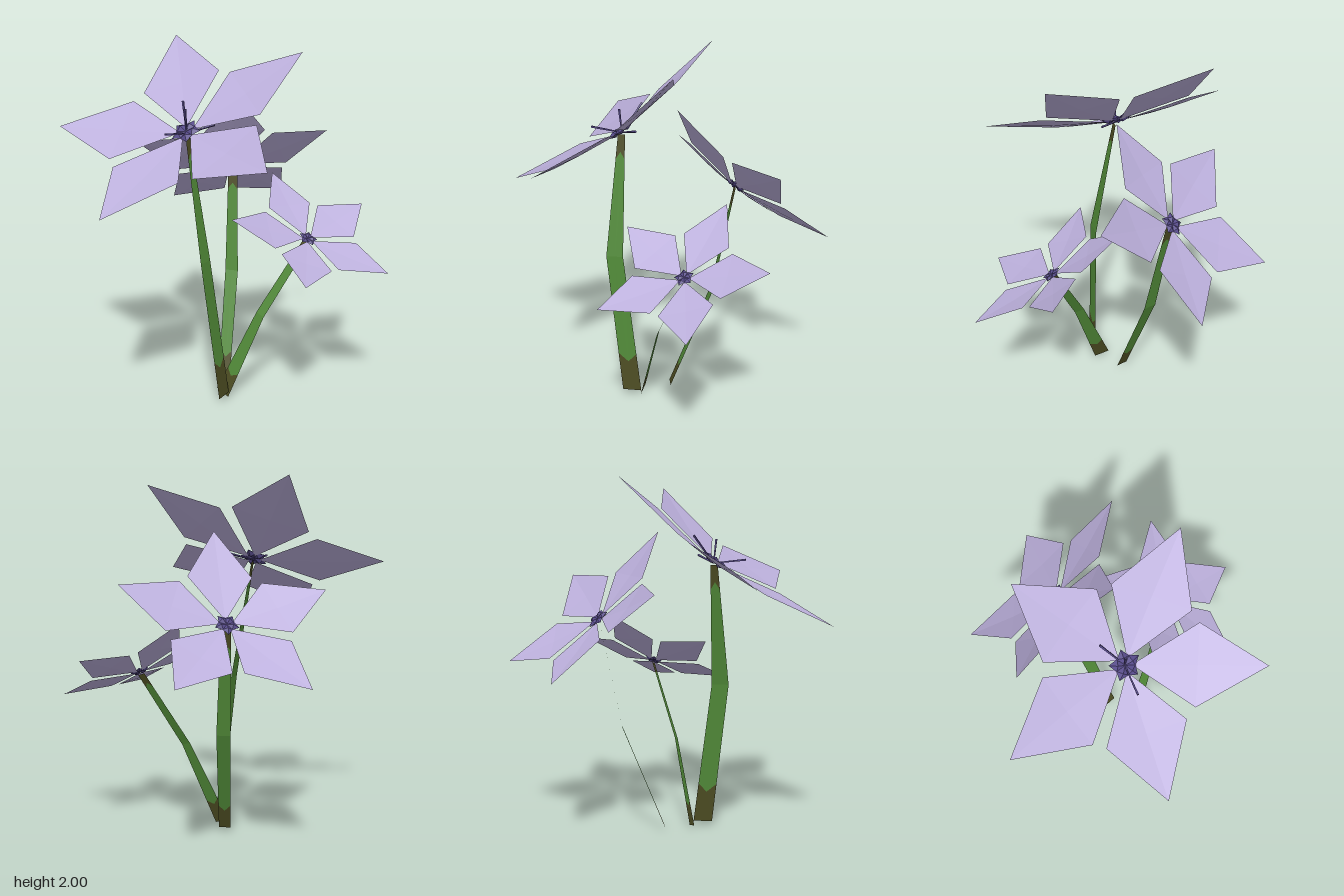
import * as THREE from 'three';

const mat = (name, color) => {
  const m = new THREE.MeshStandardMaterial({ color, side: THREE.DoubleSide, flatShading: true });
  m.name = name;
  return m;
};

// Mesh from a list of triangles (each a trio of Vector3)
function triMesh(name, tris, material) {
  const g = new THREE.BufferGeometry().setFromPoints(tris.flat());
  g.computeVertexNormals();
  const m = new THREE.Mesh(g, material);
  m.name = name;
  return m;
}

// Kite-shaped petal rising slightly outwards, four facets around its middle
function petal(angle, material) {
  const at = (radius, height, turn = 0) => new THREE.Vector3(
    radius * Math.cos(angle + turn), height, radius * Math.sin(angle + turn));
  const spread = THREE.MathUtils.degToRad(31);
  const ring = [at(0.035, 0.006), at(0.427, 0.06, spread), at(0.73, 0.117), at(0.427, 0.06, -spread)];
  const mid = at(0.37, 0.05);
  return triMesh('petal', ring.map((p, i) => [p, mid, ring[(i + 1) % 4]]), material);
}

// Small lobe at the heart of the flower
function heartLobe(angle, material) {
  const lobe = new THREE.Mesh(new THREE.OctahedronGeometry(1), material);
  lobe.name = 'heartLobe';
  lobe.scale.set(0.043, 0.018, 0.033);
  lobe.position.set(Math.cos(angle) * 0.042, 0.014, Math.sin(angle) * 0.042);
  lobe.rotation.y = -angle;
  return lobe;
}

// Bloom: five equal petals and lobes about the normal; the first petal points along aim
function bloom({ centre, normal, aim, size }, lilac, violet) {
  const g = new THREE.Group();
  g.name = 'bloom';
  for (let i = 0; i < 5; i++) {
    const angle = (i / 5) * Math.PI * 2;
    g.add(petal(angle, lilac), heartLobe(angle + Math.PI / 5, violet));
  }
  const y = new THREE.Vector3(...normal).normalize();
  const x = new THREE.Vector3(...aim).projectOnPlane(y).normalize();
  const z = new THREE.Vector3().crossVectors(x, y);
  g.quaternion.setFromRotationMatrix(new THREE.Matrix4().makeBasis(x, y, z));
  g.position.set(...centre);
  g.scale.setScalar(size);
  return g;
}

// Thin stamen from the centre along an offset
function stamen(centre, offset, material) {
  const d = new THREE.Vector3(...offset);
  const m = new THREE.Mesh(new THREE.CylinderGeometry(0.007, 0.004, d.length(), 4), material);
  m.name = 'stamen';
  m.position.set(...centre).addScaledVector(d, 0.5);
  m.quaternion.setFromUnitVectors(new THREE.Vector3(0, 1, 0), d.normalize());
  return m;
}

// Flat bent stem, brown at both ends; path rows are [x, y, z, width scale]
function stem({ path, across, low, high }, green, brown) {
  const half = new THREE.Vector3(...across);
  const at = (t, side) => {
    const i = Math.min(Math.floor(t), path.length - 2);
    const [x, y, z, w] = path[i].map((v, k) => THREE.MathUtils.lerp(v, path[i + 1][k], t - i));
    return new THREE.Vector3(x, y, z).addScaledVector(half, w * side);
  };
  // Left, middle and right point; the middle may dip below the edges
  const row = (t, dip = 0) => [at(t, -1), at(t - dip, 0), at(t, 1)];
  const band = (name, rows, material) => {
    const tris = [];
    for (let i = 0; i < rows.length - 1; i++) {
      for (let j = 0; j < 2; j++) {
        const a = rows[i][j], b = rows[i][j + 1], c = rows[i + 1][j + 1], d = rows[i + 1][j];
        tris.push([a, b, c], [a, c, d]);
      }
    }
    return triMesh(name, tris, material);
  };
  const lowRow = row(low, 0.06), highRow = row(high, -0.06);
  const g = new THREE.Group();
  g.name = 'stem';
  g.add(
    band('stemBase', [row(0), lowRow], brown),
    band('stemBlade', [lowRow, row(1), highRow], green),
    band('stemTip', [highRow, row(2)], brown),
  );
  return g;
}

const FLOWERS = [
  {
    name: 'tallFlower', centre: [-0.21, 1.54, 0.15], size: 1,
    normal: [-0.405, 0.812, 0.42], aim: [0.03, 0.46, -0.58],
    stamens: [[0, 0.15, -0.13], [0.15, 0.04, 0], [-0.13, 0.02, 0.12], [-0.01, 0.13, 0.01]],
    path: [[-0.02, 0.03, 0.215, 1], [-0.13, 0.85, 0.255, 0.89], [-0.207, 1.53, 0.155, 0.37]],
    across: [0.035, 0, -0.041], low: 0.28, high: 1.8,
  },
  {
    name: 'backFlower', centre: [0.14, 1.23, -0.37], size: 0.803,
    normal: [0.033, 0.713, -0.7], aim: [0.39, -0.25, -0.37],
    stamens: [],
    path: [[0.025, 0.03, -0.02, 1], [0.112, 0.62, -0.245, 1.15], [0.142, 1.23, -0.37, 0.8]],
    across: [0.03, 0, 0.015], low: 0.25, high: 1.78,
  },
  {
    name: 'lowFlower', centre: [0.46, 0.92, 0.17], size: 0.65,
    normal: [0.222, 0.861, 0.458], aim: [0.4, 0.115, -0.26],
    stamens: [],
    path: [[-0.015, 0.015, 0.143, 1], [0.195, 0.49, 0.168, 0.62], [0.455, 0.91, 0.168, 0.5]],
    across: [0.026, -0.015, 0.033], low: 0.28, high: 1.82,
  },
];

export function createModel() {
  const lilac = mat('petalLilac', 0xbcb0dc);
  const violet = mat('stamenViolet', 0x584c8c);
  const green = mat('stemGreen', 0x518a38);
  const brown = mat('stemBrown', 0x4c4c22);

  const model = new THREE.Group();
  model.name = 'flowers';
  for (const f of FLOWERS) {
    const g = new THREE.Group();
    g.name = f.name;
    g.add(bloom(f, lilac, violet), stem(f, green, brown));
    for (const s of f.stamens) g.add(stamen(f.centre, s, violet));
    model.add(g);
  }
  return model;
}
